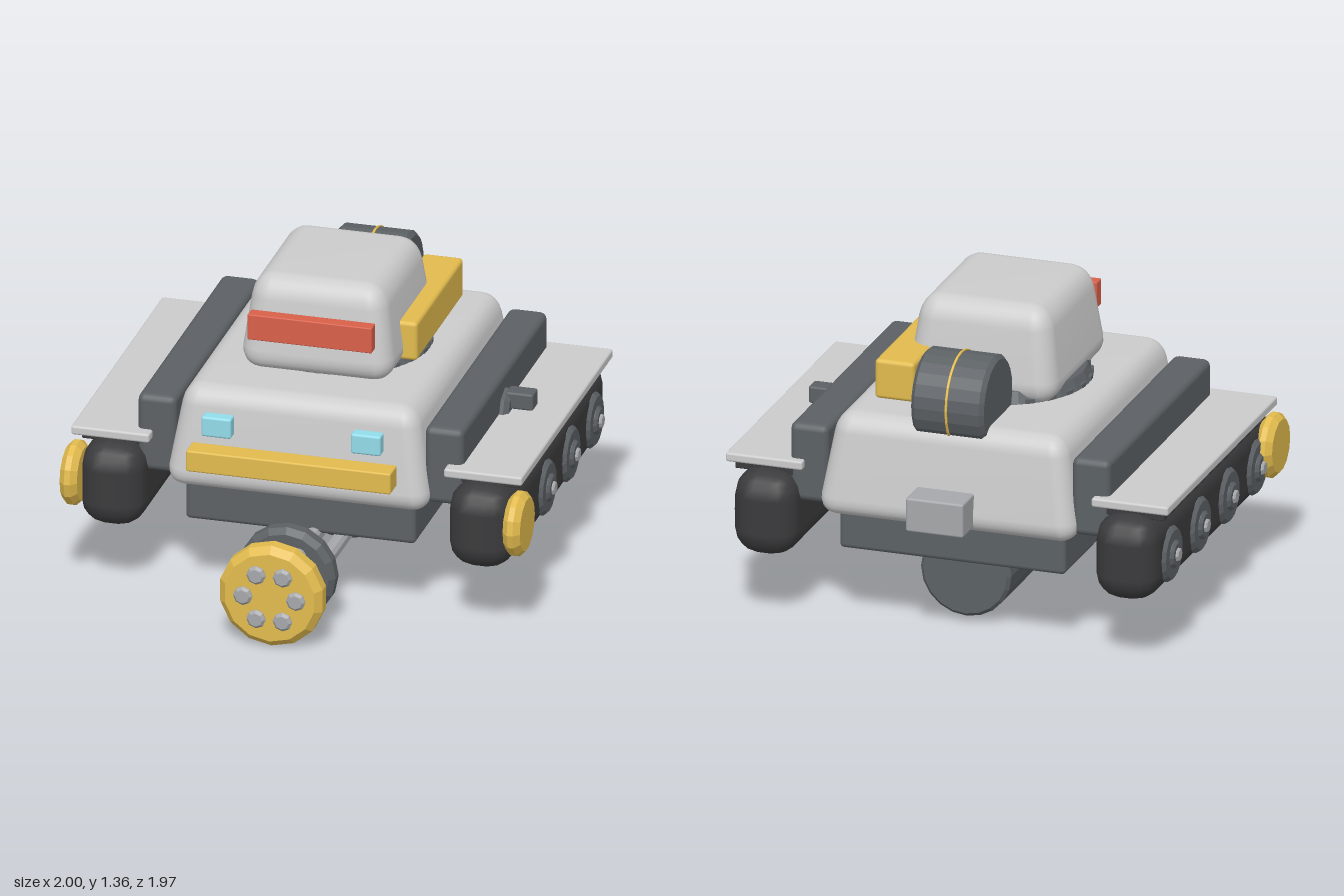
import * as THREE from 'three';
import { RoundedBoxGeometry } from 'three/addons/geometries/RoundedBoxGeometry.js';
import { mergeVertices } from 'three/addons/utils/BufferGeometryUtils.js';

const mat = (color, flatShading = false) => new THREE.MeshStandardMaterial({ color, flatShading });
const LIGHT = 0xcccccc, STEEL = 0xa6a8ab, DARK = 0x5c6165, TRACK = 0x3b3b3d;
const YELLOW = 0xe2bb4e, RED = 0xd9604a, CYAN = 0x93dcea;

export function createModel() {
  const model = new THREE.Group();

  const add = (name, geometry, color, flat, parent = model) => {
    const mesh = new THREE.Mesh(geometry, mat(color, flat));
    mesh.name = name;
    parent.add(mesh);
    return mesh;
  };

  // Rounded box given by its extents [min, max] on each axis
  const box = (name, x, y, z, radius, color, parent = model, segments = 2) => {
    const g = new RoundedBoxGeometry(x[1] - x[0], y[1] - y[0], z[1] - z[0], segments, radius);
    g.translate((x[0] + x[1]) / 2, (y[0] + y[1]) / 2, (z[0] + z[1]) / 2);
    return add(name, g, color, false, parent);
  };

  // Rounded box that narrows towards the top
  const taperedBox = (name, x, y, z, radius, topX, topZ, color) => {
    const w = x[1] - x[0], h = y[1] - y[0], d = z[1] - z[0];
    let g = new RoundedBoxGeometry(w, h, d, 3, radius);
    g.deleteAttribute('normal');
    g.deleteAttribute('uv');
    g = mergeVertices(g, 1e-4);
    const p = g.attributes.position;
    for (let i = 0; i < p.count; i++) {
      const t = p.getY(i) / h + 0.5;
      p.setX(i, p.getX(i) * (1 + (topX - 1) * t));
      p.setZ(i, p.getZ(i) * (1 + (topZ - 1) * t));
    }
    g.computeVertexNormals();
    g.translate((x[0] + x[1]) / 2, (y[0] + y[1]) / 2, (z[0] + z[1]) / 2);
    return add(name, g, color);
  };

  // Bevelled disc or drum along the x or z axis, from a to b
  const disc = (name, axis, r, a, b, bevel, sides, center, color, parent = model) => {
    const h = (b - a) / 2, mid = (a + b) / 2;
    const profile = [[0, -h], [r - bevel, -h], [r, bevel - h], [r, h - bevel], [r - bevel, h], [0, h]];
    const g = new THREE.LatheGeometry(profile.map(q => new THREE.Vector2(...q)), sides);
    if (axis === 'x') g.rotateZ(-Math.PI / 2).translate(mid, center[0], center[1]);
    else g.rotateX(Math.PI / 2).translate(center[0], center[1], mid);
    return add(name, g, color, true, parent);
  };

  // Hull
  taperedBox('hull', [-0.58, 0.58], [0.51, 0.96], [-0.87, 0.59], 0.085, 0.87, 0.91, LIGHT);
  box('lowerHull', [-0.5, 0.5], [0.34, 0.58], [-0.76, 0.5], 0.02, DARK);
  box('bumper', [-0.445, 0.445], [0.64, 0.735], [0.585, 0.685], 0.008, YELLOW);
  box('rearBox', [-0.127, 0.127], [0.54, 0.69], [-0.985, -0.8], 0.01, STEEL);

  // Both sides: tracks, fenders, wheels, lamps
  for (const s of [-1, 1]) {
    const side = new THREE.Group();
    side.name = s > 0 ? 'leftSide' : 'rightSide';
    model.add(side);
    const span = (a, b) => (s > 0 ? [a, b] : [-b, -a]);

    box('track', span(0.66, 0.94), [0.3, 0.67], [-0.91, 0.63], 0.11, TRACK, side);
    for (let i = 0; i < 14; i++) {
      const z = 0.47 - i * 0.095;
      box('trackLug', span(0.66, 0.95), [0.65, 0.685], [z - 0.025, z + 0.025], 0.005, TRACK, side, 1);
    }
    box('fender', span(0.64, 0.98), [0.69, 0.73], [-0.83, 0.56], 0.01, LIGHT, side);
    box('sidePod', span(0.54, 0.708), [0.54, 0.885], [-0.795, 0.505], 0.03, DARK, side);
    box('headlight', span(0.26, 0.39), [0.79, 0.88], [0.585, 0.645], 0.01, CYAN, side);

    for (const z of [0.4, 0.045, -0.315, -0.675]) {
      disc('roadWheel', 'x', 0.12, ...span(0.9, 0.955), 0.015, 16, [0.465, z], DARK, side);
      disc('wheelHub', 'x', 0.062, ...span(0.94, 0.97), 0.012, 12, [0.465, z], DARK, side);
      disc('wheelBolt', 'x', 0.03, ...span(0.95, 0.982), 0.006, 8, [0.465, z], STEEL, side);
    }
    disc('driveCap', 'x', 0.14, ...span(0.925, 1), 0.025, 14, [0.515, 0.545], YELLOW, side);
  }

  // Fitting on the left pod
  disc('fittingBase', 'x', 0.095, 0.69, 0.745, 0.02, 8, [0.72, -0.135], DARK);
  box('fittingArm', [0.72, 0.84], [0.735, 0.81], [-0.18, -0.1], 0.01, DARK);

  // Turret
  const ring = new THREE.CylinderGeometry(0.36, 0.39, 0.06, 24).translate(0, 0.98, -0.13);
  add('turretRing', ring, DARK, true);
  for (let i = 0; i < 24; i++) {
    const a = (i + 0.5) / 24 * Math.PI * 2;
    const g = new THREE.BoxGeometry(0.04, 0.025, 0.04).rotateY(a);
    g.translate(Math.sin(a) * 0.365, 0.965, -0.13 + Math.cos(a) * 0.365);
    add('ringBolt', g, DARK, true);
  }
  taperedBox('turret', [-0.345, 0.338], [0.945, 1.365], [-0.455, 0.3], 0.1, 0.83, 0.83, LIGHT);
  box('visor', [-0.27, 0.27], [1.125, 1.24], [0.3, 0.358], 0.005, RED);
  box('sideLauncher', [0.21, 0.385], [0.98, 1.155], [-0.642, 0.07], 0.018, YELLOW);

  // Rear drum with a thin centre band
  disc('rearDrum', 'x', 0.197, -0.162, 0.16, 0.018, 24, [1.037, -0.64], DARK);
  disc('drumBand', 'x', 0.202, -0.005, 0.005, 0.001, 24, [1.037, -0.64], YELLOW);

  // Rotary gun under the hull
  const gun = new THREE.Group();
  gun.name = 'rotaryGun';
  model.add(gun);
  const gunY = 0.235;
  disc('gunHousing', 'z', 0.2, -0.595, -0.135, 0.015, 20, [0, gunY], DARK, gun);
  disc('barrelClamp', 'z', 0.212, 0.63, 0.725, 0.025, 16, [0, gunY], DARK, gun);
  disc('muzzlePlate', 'z', 0.228, 0.855, 0.967, 0.03, 14, [0, gunY], YELLOW, gun);
  for (let i = 0; i < 6; i++) {
    const a = i * Math.PI / 3;
    const c = [Math.cos(a) * 0.115, gunY + Math.sin(a) * 0.115];
    disc('barrel', 'z', 0.033, -0.2, 0.975, 0.004, 10, c, STEEL, gun);
    disc('muzzle', 'z', 0.042, 0.94, 0.985, 0.012, 8, c, STEEL, gun);
  }

  return model;
}
